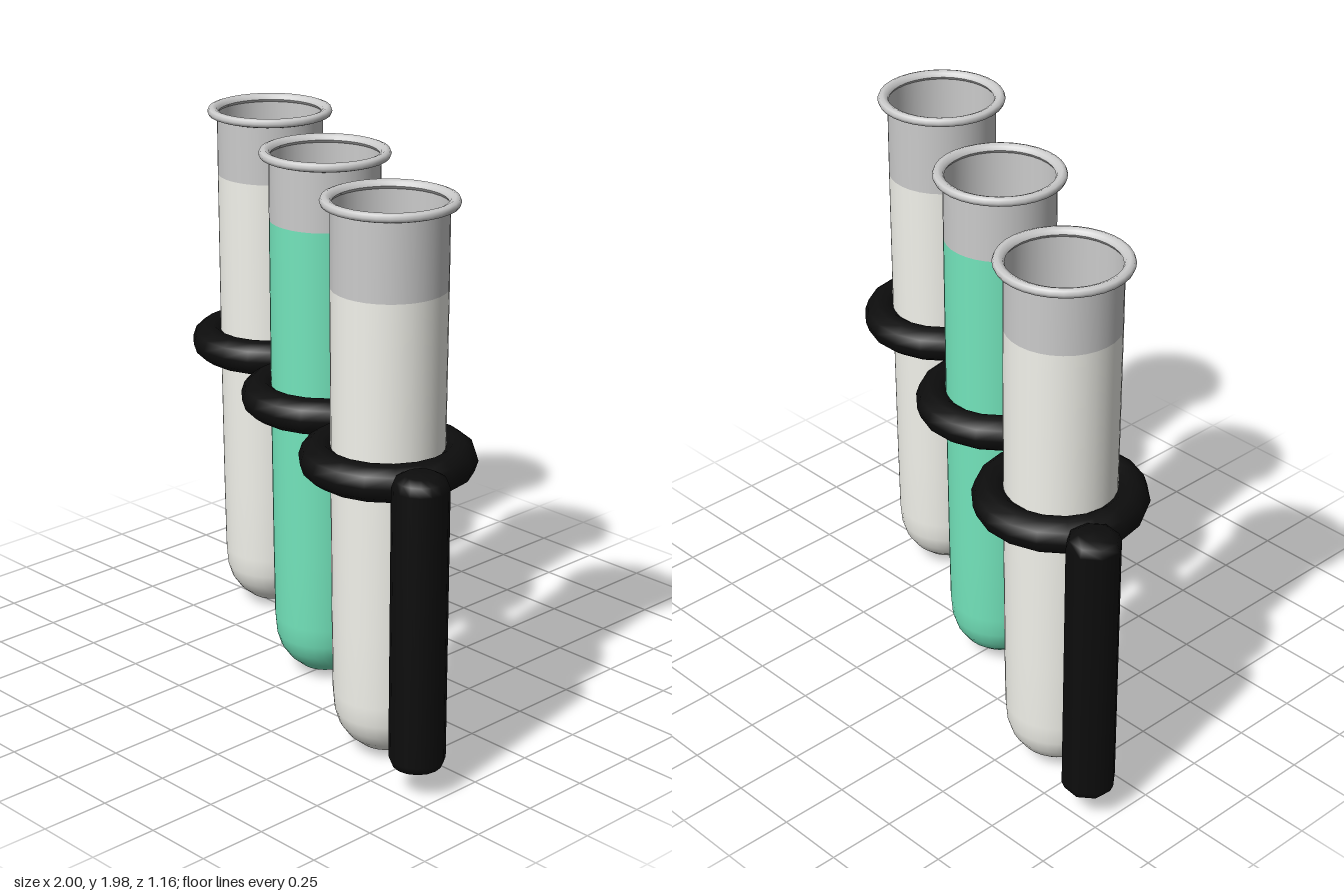
import * as THREE from 'three';

const mat = (color) => new THREE.MeshStandardMaterial({ color, side: THREE.DoubleSide });

export function createModel() {
  const group = new THREE.Group();
  const glass = mat(0xcccccc);
  const white = mat(0xf3f3ec);
  const green = mat(0x74e6bd);
  const black = mat(0x0d0d0d);

  const add = (parent, name, geometry, material, x = 0, y = 0, z = 0) => {
    const mesh = new THREE.Mesh(geometry, material);
    mesh.name = name;
    mesh.position.set(x, y, z);
    parent.add(mesh);
    return mesh;
  };
  const lathe = (points, sides) =>
    new THREE.LatheGeometry(points.map(([r, y]) => new THREE.Vector2(r, y)), sides);

  // Tubes: open filled shell, clear upper band, rolled rim and holding ring
  const tubes = [
    { name: 'rightTube', x: -0.6, z: -0.29, level: 1.73, fill: white },
    { name: 'middleTube', x: 0, z: 0, level: 1.73, fill: green },
    { name: 'leftTube', x: 0.6, z: 0.28, level: 1.675, fill: white },
  ];
  for (const { name, x, z, level, fill } of tubes) {
    const tube = new THREE.Group();
    tube.name = name;
    tube.position.set(x, 0, z);
    group.add(tube);

    add(tube, 'filledShell', lathe([
      [0, 0.005], [0.045, 0.012], [0.09, 0.032], [0.132, 0.067], [0.162, 0.11],
      [0.178, 0.16], [0.184, 0.23], [0.188, 0.5], [0.193, 1.05], [0.196, level],
    ], 32), fill);
    add(tube, 'clearBand', lathe([[0.196, level], [0.196, 1.96]], 32), glass);
    add(tube, 'rim', lathe([
      [0.19, 1.962], [0.196, 1.975], [0.212, 1.982], [0.226, 1.977], [0.231, 1.965],
      [0.226, 1.953], [0.212, 1.948], [0.196, 1.952], [0.19, 1.962],
    ], 32), glass);

    const ring = new THREE.TorusGeometry(0.238, 0.064, 10, 18).rotateX(Math.PI / 2);
    add(tube, 'holdingRing', ring, black, 0, 1.08, 0);
  }

  // Short rounded links joining neighbouring rings
  for (const side of [-1, 1]) {
    const link = new THREE.CapsuleGeometry(0.075, 0.06, 4, 8).rotateZ(Math.PI / 2);
    link.scale(1, 0.9, 1.1);
    const mesh = add(group, side < 0 ? 'rightLink' : 'leftLink', link, black, side * 0.3, 1.065, side * 0.143);
    mesh.rotation.y = -0.44;
  }

  // End posts with softly rounded tips
  const postProfile = [
    [0, 0.095], [0.055, 0.096], [0.085, 0.108], [0.096, 0.135],
    [0.096, 1.1], [0.085, 1.13], [0.055, 1.147], [0, 1.15],
  ];
  add(group, 'rightPost', lathe(postProfile, 8), black, -0.904, 0, -0.44).rotation.y = 0.3;
  add(group, 'leftPost', lathe(postProfile, 16), black, 0.904, 0, 0.435);

  return group;
}
